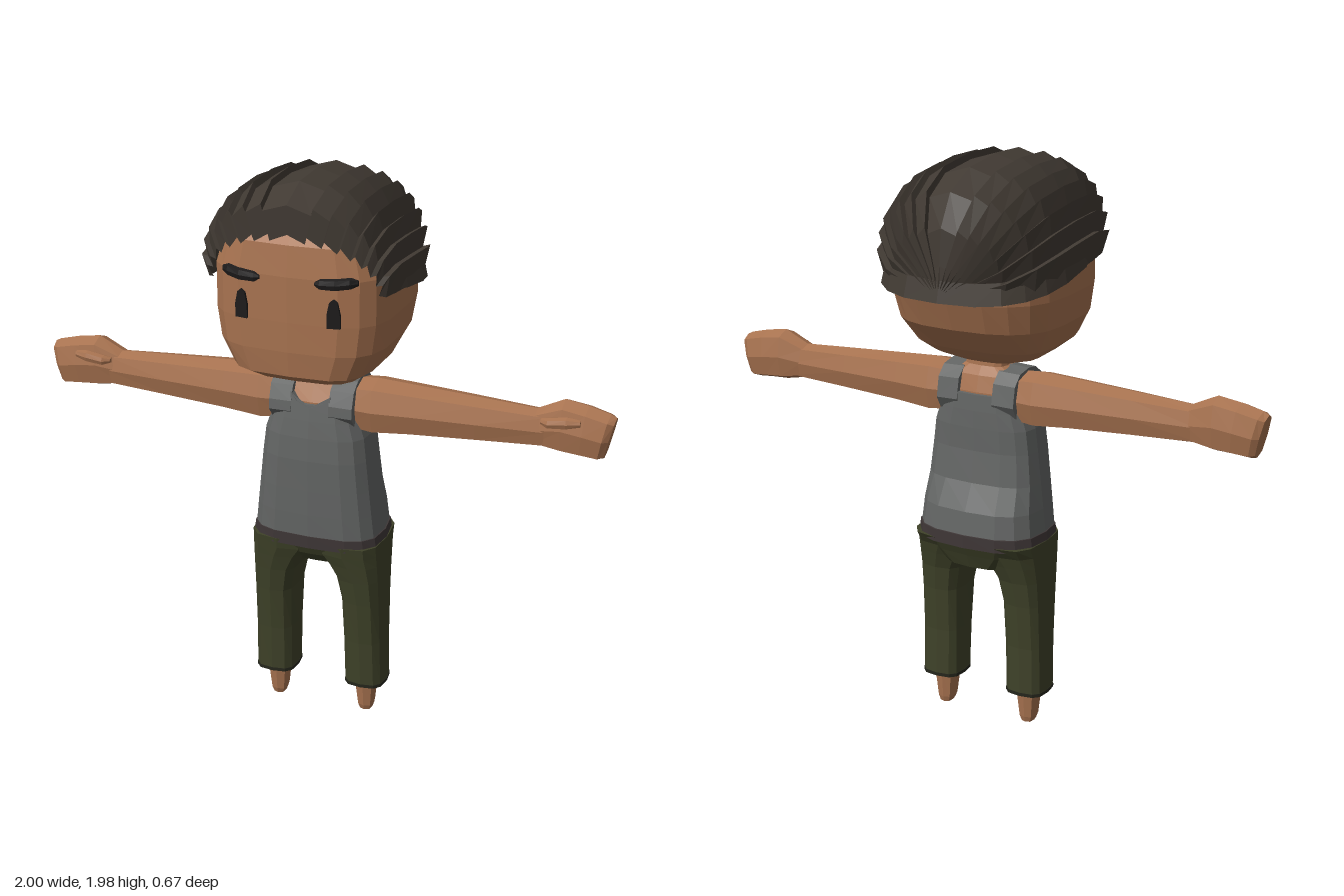
import * as THREE from 'three';

const mat = (name, color, extra = {}) =>
  Object.assign(new THREE.MeshStandardMaterial({ color, flatShading: true, ...extra }), { name });
const V = (x, y, z) => new THREE.Vector3(x, y, z);
const lerp = THREE.MathUtils.lerp;
const spow = (v, p) => Math.sign(v) * Math.pow(Math.abs(v), p);

// Skins a list of cross-sections; the triangles are turned so they face outwards
function loft(rings, closed = true) {
  const tris = [];
  const n = rings[0].length;
  for (let i = 0; i < rings.length - 1; i++) {
    for (let j = 0; j < (closed ? n : n - 1); j++) {
      const k = (j + 1) % n;
      const [a, b, c, d] = [rings[i][j], rings[i][k], rings[i + 1][k], rings[i + 1][j]];
      tris.push([a, b, c], [a, c, d]);
    }
  }
  if (closed) {
    const first = rings[0], last = rings[rings.length - 1];
    for (let j = 1; j < n - 1; j++) {
      tris.push([first[0], first[j + 1], first[j]], [last[0], last[j], last[j + 1]]);
    }
  }
  const origin = rings[0][0];
  let volume = 0;
  for (const t of tris) {
    const [a, b, c] = t.map((p) => p.clone().sub(origin));
    volume += a.dot(b.cross(c));
  }
  if (volume < 0) tris.forEach((t) => t.reverse());
  const geometry = new THREE.BufferGeometry().setFromPoints(tris.flat());
  geometry.computeVertexNormals();
  return geometry;
}

// Horizontal rounded section: front and back have their own depth and squareness
function slice([y, x0, x1, zf, zb], n, pf, pb) {
  const cx = (x0 + x1) / 2, w = (x1 - x0) / 2;
  return Array.from({ length: n }, (_, i) => {
    const a = (i / n) * Math.PI * 2, c = Math.cos(a), s = Math.sin(a);
    const p = s > 0 ? pf : pb;
    return V(cx + w * spow(c, p), y, s > 0 ? zf * spow(s, p) : -zb * spow(s, p));
  });
}
const body = (rows, n = 12, pf = 0.6, pb = 0.7) =>
  loft(rows.map(([y, w, zf, zb]) => slice([y, -w, w, zf, zb], n, pf, pb)));

// Vertical eight-sided section across an arm, with an optional slant
function armSlice([x, y0, y1, z0, z1, slant = 0], side) {
  return Array.from({ length: 8 }, (_, i) => {
    const a = (i / 8) * Math.PI * 2;
    const dy = ((y1 - y0) / 2) * spow(Math.sin(a), 0.7);
    return V(side * (x + slant * dy), (y0 + y1) / 2 + dy, (z0 + z1) / 2 + ((z1 - z0) / 2) * spow(Math.cos(a), 0.7));
  });
}

export function createModel() {
  const skin = mat('skin', 0xa87350);
  const hairMat = mat('hair', 0x413a33, { side: THREE.DoubleSide });
  const shirtMat = mat('shirt', 0x636564);
  const trouserMat = mat('trousers', 0x3f4229);
  const beltMat = mat('waistband', 0x3f3737);
  const dark = mat('eyes and brows', 0x1d1b1b);
  const cuffMat = mat('cuff', 0x25261c);

  const model = new THREE.Group();
  model.name = 'figure';
  const add = (name, geometry, material, parent = model) => {
    const mesh = new THREE.Mesh(geometry, material);
    mesh.name = name;
    parent.add(mesh);
    return mesh;
  };

  // Head: squared face, rounded back
  add('head', body([
    [1.3, 0.1, 0.1, -0.05], [1.325, 0.19, 0.25, -0.1], [1.365, 0.24, 0.317, -0.16],
    [1.45, 0.285, 0.326, -0.235], [1.55, 0.3, 0.328, -0.275], [1.7, 0.3, 0.328, -0.285],
    [1.8, 0.27, 0.316, -0.26], [1.88, 0.2, 0.24, -0.2],
  ], 20, 0.5, 0.75), skin);

  // Hair: arches from the hairline to the nape
  // [half width, base y, base z, top y, top z, roundness]
  const arches = [
    [0.285, 1.65, 0.255, 1.82, 0.322, 0.95], [0.305, 1.645, 0.245, 1.915, 0.325, 0.8],
    [0.312, 1.635, 0.16, 1.962, 0.21, 0.75], [0.315, 1.62, 0.03, 1.965, 0.05, 0.75],
    [0.313, 1.605, -0.1, 1.945, -0.12, 0.75], [0.285, 1.59, -0.2, 1.885, -0.235, 0.75],
    [0.21, 1.58, -0.265, 1.78, -0.295, 0.8], [0.1, 1.575, -0.305, 1.67, -0.31, 0.9],
    [0.03, 1.57, -0.315, 1.6, -0.32, 1],
  ];
  const strands = 16;
  const arch = ([w, y, z, top, topZ, p], row) => {
    const points = [];
    for (let s = 0; s < strands; s++) {
      for (const e of [0, 1]) {
        const a = ((s + e) / strands) * Math.PI;
        const c = Math.abs(Math.cos(a)) < 1e-6 ? 0 : Math.cos(a), h = Math.max(0, Math.sin(a));
        // each lock is raised on the edge nearer the parting
        const raised = (s < strands / 2) === (e === 1);
        const lift = (raised ? 0.016 : -0.006) * (row < 7 ? 1 : 0.5);
        points.push(V(w * spow(c, p) + lift * c, y + (top - y) * Math.pow(h, p) + lift * h,
          lerp(z, topZ, h) + (row > 4 ? -lift * 0.5 : 0)));
      }
    }
    return points;
  };
  add('hair', loft(arches.map(arch), false), hairMat);

  // Thick rim of hair round the sides and back
  const rim = [];
  for (let i = 0; i <= 16; i++) {
    const t = (i / 16) * 2 - 1, a = t * 2.35;
    const x = spow(Math.sin(a), 0.75), z = -spow(Math.cos(a), 0.75);
    const back = (1 + Math.cos(a)) / 2;
    const y = 1.615 + z * (z > 0 ? 0.05 : 0.055);
    const at = (r, dy) => V(x * (0.3 + r), y + dy, z * (z > 0 ? 0.3 : 0.305 + r));
    rim.push([at(0.012, 0.07), at(0.02 + 0.008 * back, 0), at(-0.03, 0), at(-0.03, 0.07)]);
  }
  add('hairRim', loft(rim), hairMat);

  // Neck and upper chest
  add('neckAndChest', body([
    [1.1, 0.15, 0.125, -0.08], [1.2, 0.14, 0.12, -0.08], [1.255, 0.13, 0.09, -0.065],
    [1.285, 0.075, 0.075, -0.045], [1.35, 0.065, 0.07, -0.04],
  ]), skin);

  // Vest
  add('vest', body([
    [0.71, 0.225, 0.152, -0.172], [0.8, 0.215, 0.155, -0.16], [0.89, 0.205, 0.156, -0.115],
    [1, 0.193, 0.156, -0.1], [1.08, 0.183, 0.15, -0.1], [1.14, 0.162, 0.142, -0.098],
    [1.195, 0.15, 0.133, -0.094],
  ], 16), shirtMat);
  add('waistband', body([
    [0.675, 0.234, 0.153, -0.176], [0.72, 0.228, 0.155, -0.177],
  ], 16), beltMat);

  // Seat of the trousers
  add('seat', body([
    [0.59, 0.13, 0.07, -0.13], [0.64, 0.2, 0.125, -0.15], [0.69, 0.233, 0.15, -0.174],
  ], 16), trouserMat);

  for (const side of [1, -1]) {
    const label = side > 0 ? 'left' : 'right';
    const flip = (rows, n, p) => loft(rows.map(([y, a, b, zf, zb]) =>
      slice([y, side > 0 ? a : -b, side > 0 ? b : -a, zf, zb], n, p, p)));

    // Shoulder strap, bent over from front to back
    const path = [[1.165, 0.136], [1.2, 0.133], [1.25, 0.112], [1.278, 0.07], [1.285, 0.02],
      [1.275, -0.045], [1.24, -0.083], [1.17, -0.097]];
    add(label + 'Strap', loft(path.map(([y, z]) => [
      V(side * 0.066, y, z), V(side * 0.146, y - 0.003, z * 0.96),
      V(side * 0.146, y - 0.045, z * 0.7), V(side * 0.066, y - 0.045, z * 0.7),
    ])), shirtMat);
    // Neckline wedge
    add(label + 'Neckline', loft([0.135, 0.1].map((z) => [
      V(0, 1.185, z), V(side * 0.045, 1.205, z), V(side * 0.07, 1.23, z - 0.01), V(side * 0.07, 1.17, z),
    ])), shirtMat);

    // Arm and fist
    add(label + 'Arm', loft([
      [0.11, 1.1, 1.27, -0.07, 0.1], [0.2, 1.088, 1.277, -0.075, 0.103], [0.33, 1.1, 1.27, -0.067, 0.095],
      [0.55, 1.112, 1.258, -0.053, 0.08], [0.78, 1.122, 1.245, -0.036, 0.06],
    ].map((r) => armSlice(r, side))), skin);
    add(label + 'Hand', loft([
      [0.74, 1.125, 1.247, -0.036, 0.058], [0.83, 1.108, 1.29, -0.052, 0.068],
      [0.9, 1.105, 1.278, -0.053, 0.072, 0.1], [0.965, 1.1, 1.26, -0.045, 0.068, 0.2],
      [0.984, 1.105, 1.25, -0.03, 0.05, 0.23],
    ].map((r) => armSlice(r, side))), skin);
    add(label + 'Thumb', loft([
      [0.765, 1.215, 1.232, 0.04, 0.07], [0.79, 1.207, 1.24, 0.04, 0.086],
      [0.85, 1.212, 1.25, 0.04, 0.086], [0.895, 1.222, 1.245, 0.04, 0.074],
    ].map((r) => armSlice(r, side))), skin);

    // Trouser leg with a dark hem, and foot
    add(label + 'Leg', flip([
      [0.13, 0.096, 0.239, 0.08, -0.076], [0.3, 0.093, 0.236, 0.09, -0.077],
      [0.46, 0.088, 0.235, 0.108, -0.09], [0.55, 0.07, 0.235, 0.122, -0.105],
      [0.61, 0.035, 0.235, 0.134, -0.125], [0.65, 0.002, 0.235, 0.143, -0.14], [0.69, 0, 0.234, 0.15, -0.168],
    ], 12, 0.65), trouserMat);
    add(label + 'Hem', flip([
      [0.12, 0.094, 0.241, 0.081, -0.077], [0.132, 0.094, 0.241, 0.081, -0.077],
    ], 12, 0.65), cuffMat);
    add(label + 'Foot', flip([
      [0, 0.145, 0.187, 0.03, -0.03], [0.02, 0.137, 0.194, 0.037, -0.035], [0.13, 0.124, 0.206, 0.05, -0.045],
    ], 8, 0.7), skin);

    // Eye: upright drop, wider below
    const eye = [[-0.021, 0], [0.021, 0], [0.021, 0.045], [0.013, 0.085], [0, 0.096], [-0.013, 0.085], [-0.021, 0.045]];
    add(label + 'Eye', loft([0.295, 0.329].map((z) =>
      eye.map(([x, y]) => V(side * (0.155 + x), 1.55 + y, z - x * 0.15)))), dark);

    // Brow: flat bar following the curve of the face
    add(label + 'Brow', loft([
      [0.093, 1.683, 1.697, 0.3, 0.332], [0.11, 1.672, 1.707, 0.3, 0.337], [0.16, 1.672, 1.712, 0.3, 0.336],
      [0.205, 1.678, 1.716, 0.28, 0.322], [0.227, 1.688, 1.708, 0.27, 0.305],
    ].map((r) => armSlice(r, side))), dark);
  }
  return model;
}
